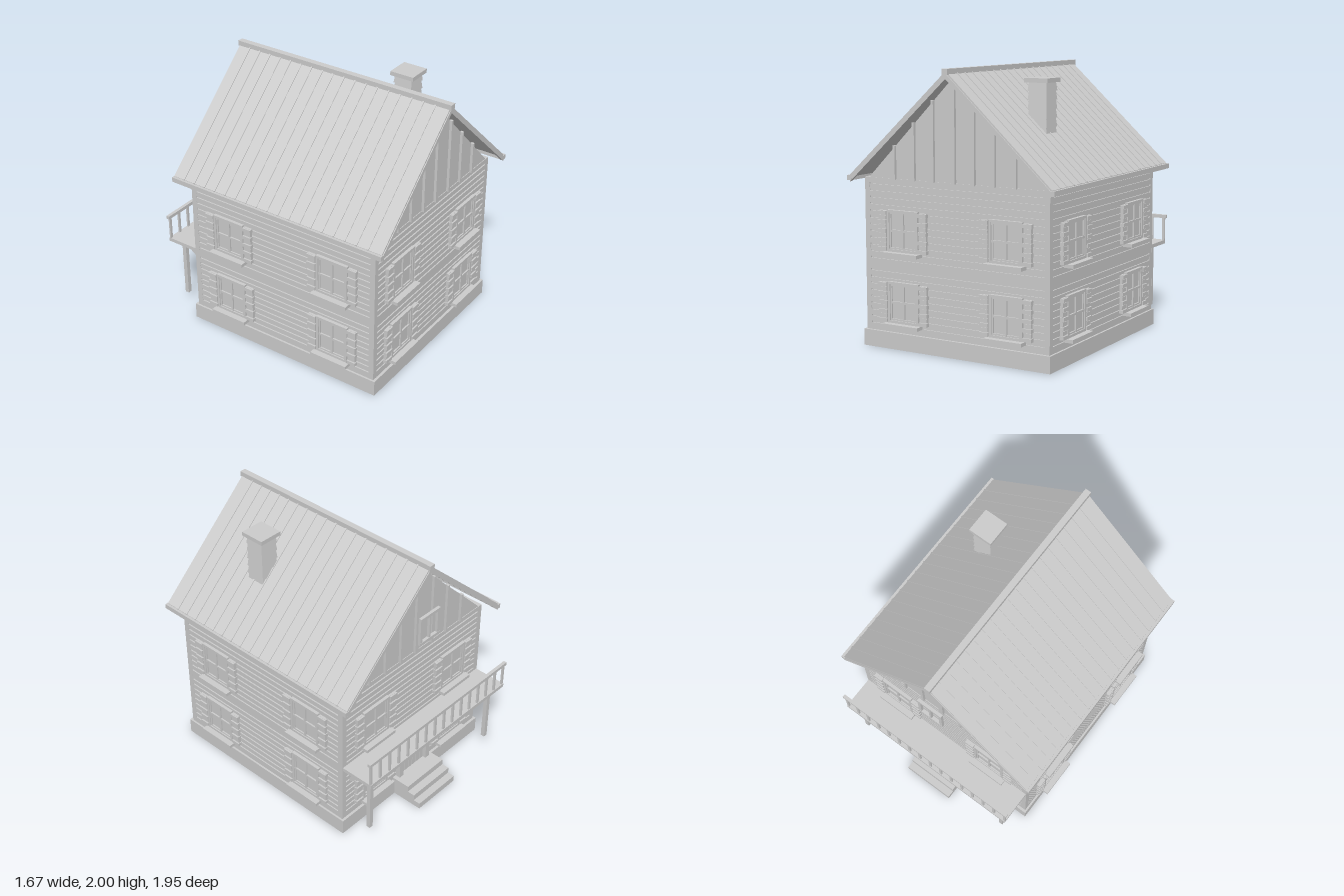
import * as THREE from 'three';

const grey = new THREE.MeshStandardMaterial({ color: 0xcccccc });
grey.name = 'plainGrey';

const ZC = 0.0775;          // centre of the house body in z
const W = 0.75, D = 0.7925; // half width and half depth of the walls
const SLOPE = 0.915;        // roof pitch

function add(parent, name, geometry) {
  const mesh = new THREE.Mesh(geometry, grey);
  mesh.name = name;
  parent.add(mesh);
  return mesh;
}

// Box given by its limits on each axis
function box(parent, name, x0, x1, y0, y1, z0, z1) {
  const mesh = add(parent, name, new THREE.BoxGeometry(x1 - x0, y1 - y0, z1 - z0));
  mesh.position.set((x0 + x1) / 2, (y0 + y1) / 2, (z0 + z1) / 2);
  return mesh;
}

function group(parent, name) {
  const g = new THREE.Group();
  g.name = name;
  parent.add(g);
  return g;
}

// Polygon in x and y, pulled along z
function prism(parent, name, points, z0, z1) {
  const shape = new THREE.Shape(points.map(([x, y]) => new THREE.Vector2(x, y)));
  const geometry = new THREE.ExtrudeGeometry(shape, { depth: z1 - z0, bevelEnabled: false });
  geometry.translate(0, 0, z0);
  return add(parent, name, geometry);
}

// Inverted V that follows the roof pitch
function chevron(parent, name, top, bottom, end, z0, z1) {
  const drop = SLOPE * end;
  return prism(parent, name, [[0, top], [-end, top - drop], [-end, bottom - drop],
    [0, bottom], [end, bottom - drop], [end, top - drop]], z0, z1);
}

// Window with bars, sill and louvred shutters; the wall plane is z = 0
function makeWindow(parent) {
  const g = group(parent, 'window');
  const w = 0.13, h = 0.148, f = 0.018;
  box(g, 'pane', -w, w, -h, h, -0.005, 0.006);
  for (const s of [-1, 1]) {
    const x = s * (w - f / 2), y = s * (h - f / 2);
    box(g, 'frameSide', x - f / 2, x + f / 2, -h, h, 0, 0.024);
    box(g, 'frameRail', -w + f, w - f, y - f / 2, y + f / 2, 0, 0.024);
    // sash edges around each half
    box(g, 'sashSide', s * 0.106 - 0.006, s * 0.106 + 0.006, -h + f, h - f, 0, 0.016);
    box(g, 'sashRail', -0.1, 0.1, s * 0.124 - 0.006, s * 0.124 + 0.006, 0, 0.016);
    // shutter: backing with slats of alternating width
    const cx = s * 0.17;
    box(g, 'shutterBack', cx - 0.03, cx + 0.03, -0.14, 0.14, 0, 0.018);
    for (let i = 0; i < 9; i++) {
      const y0 = -0.145 + i * 0.0322, hw = i % 2 ? 0.03 : 0.035;
      box(g, 'shutterSlat', cx - hw, cx + hw, y0, y0 + 0.026, 0, i % 2 ? 0.022 : 0.03);
    }
  }
  box(g, 'mullion', -0.008, 0.008, -h + f, h - f, 0, 0.018);
  box(g, 'crossBar', -w + f, w - f, -0.008, 0.008, 0, 0.018);
  box(g, 'sill', -0.15, 0.15, -0.173, -h, 0, 0.07);
  return g;
}

export function createModel() {
  const model = new THREE.Group();
  model.name = 'house';
  const zb = ZC - D, zf = ZC + D;

  box(model, 'foundation', -0.765, 0.765, 0, 0.12, zb - 0.02, zf + 0.02);

  // Walls: recessed core, stacked boards with grooves between, corner posts
  const walls = group(model, 'walls');
  const inset = 0.01;
  box(walls, 'core', -W + inset, W - inset, 0.12, 1.21, zb + inset, zf - inset);
  const grooves = [];
  for (let i = 0; i < 9; i++) grooves.push(0.175 + i * 0.0478);
  for (let i = 0; i < 12; i++) grooves.push(0.647 + i * 0.0483);
  let y = 0.12;
  for (const gy of [...grooves, 1.226]) {
    box(walls, 'board', -W, W, y, gy - 0.006, zb, zf);
    y = gy + 0.006;
  }
  for (const sx of [-1, 1]) for (const z of [zb + 0.02, zf - 0.02]) {
    box(walls, 'cornerPost', sx * 0.7305 - 0.02, sx * 0.7305 + 0.02, 0.12, 1.219, z - 0.0205, z + 0.0205);
  }

  // Gable with upright battens on both ends
  const gable = group(model, 'gable');
  prism(gable, 'gableWall', [[-0.72, 1.215], [0.72, 1.215], [0, 1.94]], zb + 0.005, zf - 0.005);
  for (const x of [-0.49, -0.325, -0.165, 0, 0.165, 0.325, 0.49]) {
    const hw = x === 0 ? 0.017 : 0.009, top = 1.945 - Math.abs(x);
    box(gable, 'frontBatten', x - hw, x + hw, 1.215, top, zf - 0.01, zf + 0.015);
    box(gable, 'backBatten', x - hw, x + hw, 1.215, top, zb - 0.015, zb + 0.01);
  }

  // Roof: slab, seams, barge boards, ridge and eaves
  const roof = group(model, 'roof');
  chevron(roof, 'roofSlab', 1.985, 1.957, 0.815, -0.815, 0.96);
  for (let i = 0; i < 18; i++) {
    const z = 0.85 - i * 0.0925;
    chevron(roof, 'roofSeam', 1.992, 1.97, 0.818, z - 0.006, z + 0.006);
  }
  chevron(roof, 'frontBargeBoard', 1.97, 1.932, 0.81, 0.945, 0.966);
  chevron(roof, 'backBargeBoard', 1.97, 1.932, 0.81, -0.82, -0.80);
  box(roof, 'ridgeCap', -0.023, 0.023, 1.96, 2, -0.828, 0.975);
  for (const s of [-1, 1]) {
    box(roof, 'eaveBeam', s * 0.817 - 0.018, s * 0.817 + 0.018, 1.2, 1.236, -0.82, 0.967);
  }

  // Chimney of flared courses with a flat cap
  const chimney = group(model, 'chimney');
  const course = new THREE.CylinderGeometry(0.068 * Math.SQRT2, 0.0755 * Math.SQRT2, 0.0625, 4)
    .rotateY(Math.PI / 4).toNonIndexed();
  course.computeVertexNormals();
  for (let i = 0; i < 8; i++) {
    add(chimney, 'chimneyCourse', course).position.set(0.407, 1.43 + i * 0.0625, 0.369);
  }
  box(chimney, 'chimneyCap', 0.314, 0.498, 1.895, 1.926, 0.275, 0.465);

  // Windows: two per storey on every side
  for (const wy of [0.34, 0.853]) for (const s of [-1, 1]) {
    makeWindow(model).position.set(s * 0.42, wy, zf);
    const back = makeWindow(model);
    back.position.set(s * 0.42, wy, zb);
    back.rotation.y = Math.PI;
    for (const side of [-1, 1]) {
      const w = makeWindow(model);
      w.position.set(side * W, wy, ZC + s * 0.45);
      w.rotation.y = side * Math.PI / 2;
    }
  }

  // Small attic window frame at the back
  const attic = group(model, 'atticWindow');
  for (const x of [-0.09, 0, 0.09]) {
    const hw = x ? 0.012 : 0.008;
    box(attic, 'atticUpright', x - hw, x + hw, 1.385, 1.61, -0.836, -0.815);
  }
  for (const ay of [1.395, 1.598]) box(attic, 'atticRail', -0.1, 0.1, ay - 0.012, ay + 0.012, -0.838, -0.815);

  // Door with plank leaves and a surround
  const door = group(model, 'door');
  for (let i = 0; i < 6; i++) {
    const x = -0.126 + i * 0.042;
    box(door, 'doorPlank', x + 0.003, x + 0.039, 0.12, 0.51, zb - 0.014, zb);
  }
  for (const s of [-1, 1]) box(door, 'doorJamb', s * 0.147 - 0.02, s * 0.147 + 0.02, 0.12, 0.51, zb - 0.04, zb);
  box(door, 'doorLintel', -0.172, 0.172, 0.51, 0.55, zb - 0.045, zb);
  box(door, 'doorHandle', 0.015, 0.03, 0.29, 0.34, zb - 0.032, zb);

  // Steps up to the door
  const steps = group(model, 'steps');
  [[0.048, -0.977], [0.096, -0.922], [0.144, -0.863]].forEach(([top, z], i) =>
    box(steps, 'step', -0.2, 0.2, i * 0.048, top, z, zb));

  // Balcony with railing, posts and braces
  const balcony = group(model, 'balcony');
  box(balcony, 'balconyFloor', -0.745, 0.745, 0.59, 0.618, -0.975, zb);
  box(balcony, 'handrail', -0.757, 0.757, 0.79, 0.815, -0.977, -0.952);
  for (let i = 0; i < 16; i++) {
    const x = -0.735 + i * 0.098;
    box(balcony, 'baluster', x - 0.01, x + 0.01, 0.618, 0.79, -0.97, -0.957);
  }
  for (const s of [-1, 1]) {
    const x = s * 0.66;
    box(balcony, 'balconyPost', x - 0.016, x + 0.016, 0.112, 0.59, -0.912, -0.88);
    const brace = add(balcony, 'balconyBrace', new THREE.BoxGeometry(0.028, 0.028, 0.215));
    brace.position.set(x, 0.52, -0.797);
    brace.rotation.x = Math.atan2(0.12, 0.165);
  }
  return model;
}
